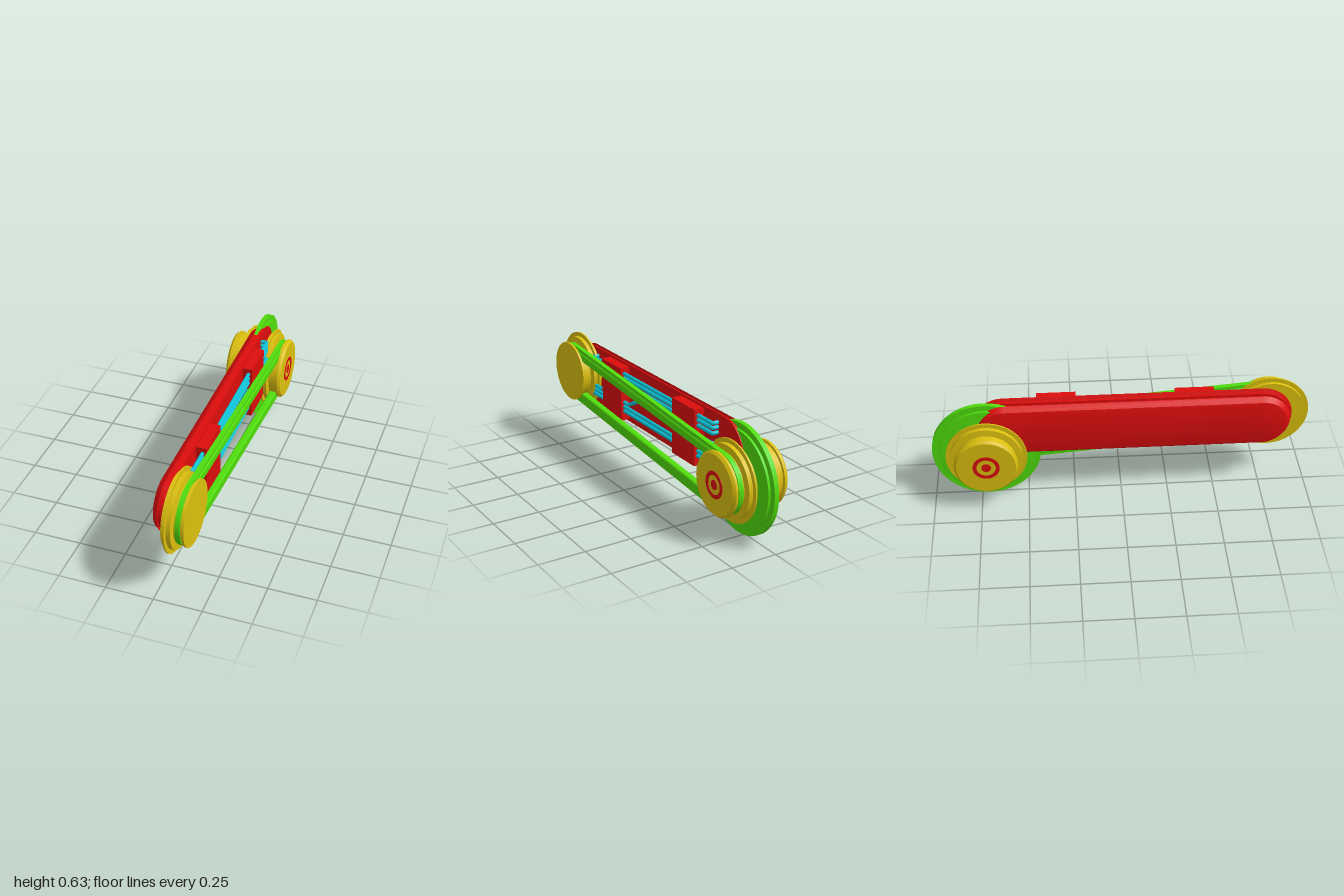
import * as THREE from 'three';
import { toCreasedNormals } from 'three/addons/utils/BufferGeometryUtils.js';

const mat = (color) => new THREE.MeshStandardMaterial({ color });

const FRONT = { y: 0.415, z: 0.79 };
const REAR = { y: 0.287, z: -0.71 };

// Solid of revolution about the x axis; profile is [x, radius] with x ascending
function turned(profile, axle) {
  const geo = new THREE.LatheGeometry(profile.map(([x, r]) => new THREE.Vector2(r, x)), 48);
  geo.rotateZ(-Math.PI / 2);
  geo.translate(0, axle.y, axle.z);
  return toCreasedNormals(geo, 0.5);
}

const mirrored = (profile) => profile.map(([x, r]) => [-x, r]).reverse();

// Sweeps an [x, radius] profile round a stadium with end centres a (front) and b (rear)
function stadium(profile, a, b) {
  const steps = 24;
  const tilt = Math.atan2(a.y - b.y, a.z - b.z);
  const ring = [];
  [a, b].forEach((c, k) => {
    for (let j = 0; j <= steps; j++) {
      ring.push([c, tilt + Math.PI * (k - 0.5 + j / steps)]);
    }
  });
  const pos = [], index = [], n = ring.length;
  for (const [x, r] of profile) {
    for (const [c, t] of ring) pos.push(x, c.y + r * Math.sin(t), c.z + r * Math.cos(t));
  }
  for (let i = 0; i < profile.length - 1; i++) {
    for (let j = 0; j < n; j++) {
      const k = (j + 1) % n;
      const p = i * n + j, q = p + n, s = i * n + k, t = s + n;
      index.push(p, q, s, q, t, s);
    }
  }
  const geo = new THREE.BufferGeometry();
  geo.setAttribute('position', new THREE.Float32BufferAttribute(pos, 3));
  geo.setIndex(index);
  return toCreasedNormals(geo, 0.4);
}

export function createModel() {
  const model = new THREE.Group();
  model.name = 'beltDrivenArm';
  const red = mat(0xdd0d0d), yellow = mat(0xdcc00e), green = mat(0x50dd0c), cyan = mat(0x0cc4d8);
  const add = (name, geo, material) => {
    const mesh = new THREE.Mesh(geo, material);
    mesh.name = name;
    model.add(mesh);
  };

  // Arm housing with bevelled outer face, edge groove and flared lip
  add('armHousing', stadium([
    [-0.04, 0], [-0.04, 0.118], [-0.037, 0.128], [-0.03, 0.135], [-0.01, 0.149],
    [-0.01, 0.135], [0.015, 0.135], [0.015, 0.149], [0.029, 0.149],
    [0.036, 0.165], [0.042, 0.165], [0.042, 0],
  ], { y: 0.415, z: 0.745 }, { y: 0.415, z: -0.61 }), red);

  // Stepped pulleys: hub, ribbed drum, belt groove, flange
  const drum = [
    [0.042, 0.19], [0.06, 0.19], [0.06, 0.213], [0.068, 0.213], [0.068, 0.19],
    [0.09, 0.19], [0.093, 0.155], [0.133, 0.155], [0.135, 0.167], [0.147, 0.167],
  ];
  const rearPulley = [[0.02, 0], [0.02, 0.05], [0.042, 0.05], ...drum, [0.16, 0.155], [0.16, 0]];
  add('frontPulley', turned([[0.03, 0], [0.042, 0.05], ...drum, [0.147, 0]], FRONT), yellow);
  add('rearPulleyLeft', turned(rearPulley, REAR), yellow);
  add('rearPulleyRight', turned(mirrored(rearPulley), REAR), yellow);

  // Red axle caps with a ring recess
  const cap = [[0.15, 0.07], [0.162, 0.07], [0.162, 0.05], [0.157, 0.05], [0.157, 0.025], [0.162, 0.025], [0.162, 0]];
  add('axleCapLeft', turned(cap, REAR), red);
  add('axleCapRight', turned(mirrored(cap), REAR), red);

  // Rear wheel with raised central tread
  add('rearWheel', turned([
    [-0.024, 0], [-0.024, 0.235], [-0.022, 0.255], [-0.01, 0.255], [-0.01, 0.287],
    [0.015, 0.287], [0.015, 0.255], [0.028, 0.255], [0.028, 0.235], [0.028, 0],
  ], REAR), green);

  // Drive belt, stepped in section
  add('driveBelt', stadium([
    [0.094, 0.1], [0.094, 0.135], [0.1, 0.143], [0.1, 0.16], [0.126, 0.16],
    [0.126, 0.143], [0.132, 0.135], [0.132, 0.1], [0.126, 0.095], [0.1, 0.095], [0.094, 0.1],
  ], FRONT, REAR), green);

  // Clamp blocks holding the pipes
  for (const [name, z] of [['frontClamp', 0.39], ['rearClamp', -0.335]]) {
    const block = new THREE.BoxGeometry(0.056, 0.3, 0.206);
    block.translate(0.068, 0.417, z);
    add(name, block, red);
  }

  // Pipes along the arm, turning into the housing at both ends
  const pipe = (name, path) => {
    const first = path[0], last = path[path.length - 1];
    const points = [
      [0.035, ...first], ...path.map((p) => [0.075, ...p]), [0.035, ...last],
    ].map((p) => new THREE.Vector3(...p));
    const curve = new THREE.CatmullRomCurve3(points, false, 'catmullrom', 0.02);
    add(name, new THREE.TubeGeometry(curve, 128, 0.0105, 8), cyan);
  };
  [0.535, 0.51, 0.482, 0.345, 0.32].forEach((y, i) => pipe('pipe' + (i + 1), [[y, 0.63], [y, -0.56]]));
  pipe('bentPipe', [[0.37, 0.63], [0.37, 0.24], [0.43, 0.12], [0.43, -0.56]]);

  return model;
}
